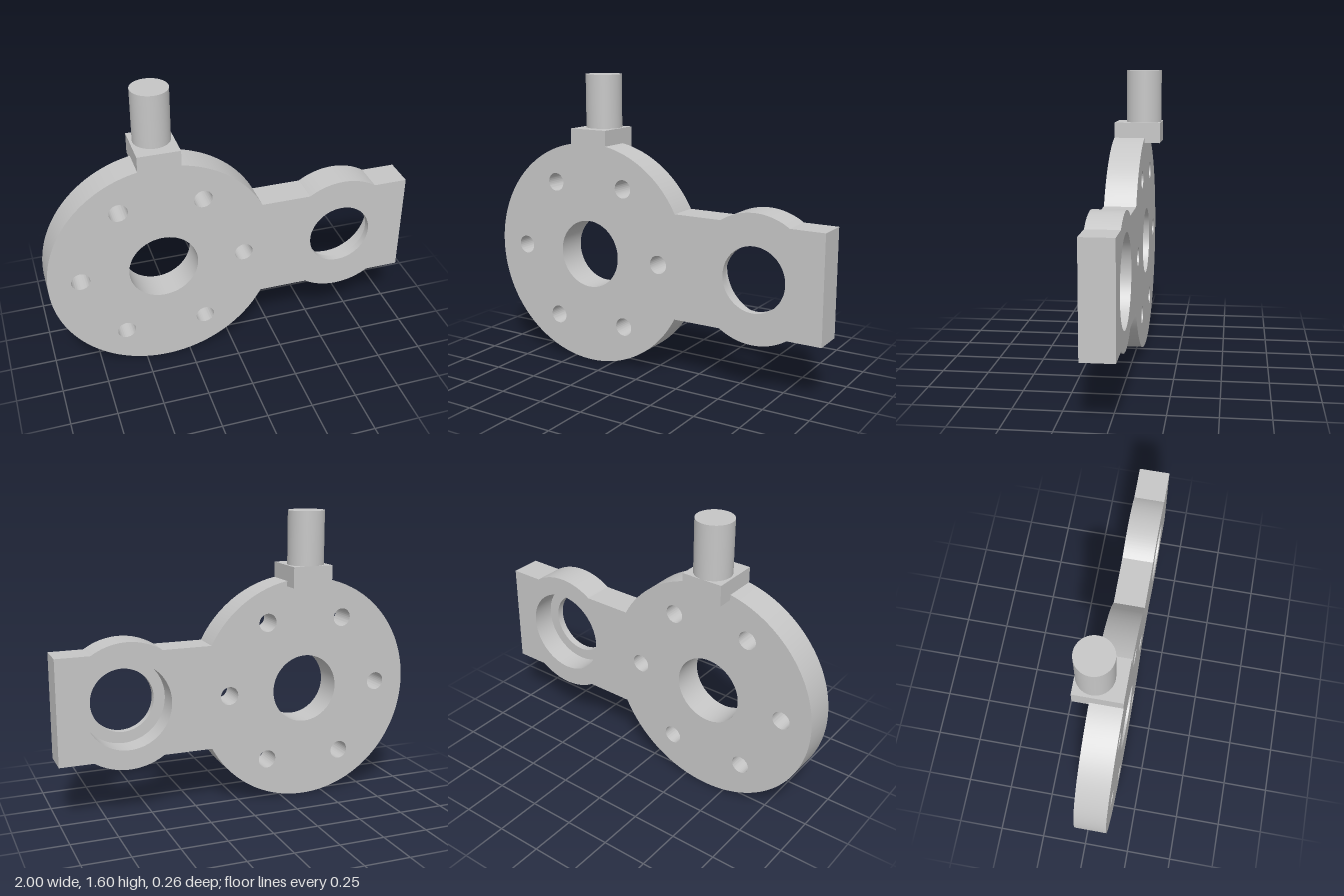
import * as THREE from 'three';
import { toCreasedNormals } from 'three/addons/utils/BufferGeometryUtils.js';

const DISC = { x: -0.382, y: 0.618, r: 0.618 };
const BOSS = { x: 0.625, y: 0.618, r: 0.343 };
const BACK = -0.042, FRONT = 0.128;
const ARM = 0.286;      // half height of the arm
const TAB = 0.113;      // half width of the top tab
const TAB_TOP = 1.31;
const BORE = 0.236, LIP_HOLE = 0.174, LIP = 0.04;

function circle(PathType, x, y, r) {
  const path = new PathType();
  path.absarc(x, y, r, 0, Math.PI * 2, false);
  return path;
}

function extrude(shape, z0, z1) {
  const g = new THREE.ExtrudeGeometry(shape, { depth: z1 - z0, bevelEnabled: false, curveSegments: 48 });
  g.translate(0, 0, z0);
  return toCreasedNormals(g, 0.5);
}

// Outline of disc, arm, boss and tab, counter-clockwise
function plateShape() {
  const PI = Math.PI;
  const a = Math.asin(ARM / DISC.r);
  const b = Math.asin(ARM / BOSS.r);
  const c = Math.acos(TAB / DISC.r);
  const s = new THREE.Shape();
  s.moveTo(DISC.x + DISC.r * Math.cos(a), DISC.y - ARM);
  s.absarc(BOSS.x, BOSS.y, BOSS.r, PI + b, 2 * PI - b, false);
  s.lineTo(1, DISC.y - ARM);
  s.lineTo(1, DISC.y + ARM);
  s.absarc(BOSS.x, BOSS.y, BOSS.r, b, PI - b, false);
  s.absarc(DISC.x, DISC.y, DISC.r, a, c, false);
  s.lineTo(DISC.x + TAB, TAB_TOP);
  s.lineTo(DISC.x - TAB, TAB_TOP);
  s.absarc(DISC.x, DISC.y, DISC.r, PI - c, 2 * PI - a, false);

  // Centre hole, ring of bolt holes and the wide bore in the boss
  s.holes.push(circle(THREE.Path, DISC.x, DISC.y, 0.188));
  for (let i = 0; i < 6; i++) {
    const t = (i * PI) / 3;
    s.holes.push(circle(THREE.Path, DISC.x + 0.446 * Math.cos(t), DISC.y + 0.446 * Math.sin(t), 0.05));
  }
  s.holes.push(circle(THREE.Path, BOSS.x, BOSS.y, BORE));
  return s;
}

export function createModel() {
  const group = new THREE.Group();
  const steel = new THREE.MeshStandardMaterial({ color: 0xc6c6c6 });
  steel.name = 'light steel grey';

  const add = (name, geometry) => {
    const mesh = new THREE.Mesh(geometry, steel);
    mesh.name = name;
    group.add(mesh);
    return mesh;
  };

  add('plate', extrude(plateShape(), BACK, FRONT));

  // Thin lip narrowing the bore at the front
  const ring = circle(THREE.Shape, BOSS.x, BOSS.y, BORE);
  ring.holes.push(circle(THREE.Path, BOSS.x, BOSS.y, LIP_HOLE));
  add('boreLip', extrude(ring, FRONT - LIP, FRONT));

  // Tab overhanging the back of the disc
  const tabBottom = 1.197, tabBack = -0.128;
  add('tabOverhang', new THREE.BoxGeometry(2 * TAB, TAB_TOP - tabBottom, BACK - tabBack))
    .position.set(DISC.x, (TAB_TOP + tabBottom) / 2, (BACK + tabBack) / 2);

  // Upright pin on the tab
  add('pin', new THREE.CylinderGeometry(0.099, 0.099, 1.6 - TAB_TOP, 64))
    .position.set(DISC.x, (1.6 + TAB_TOP) / 2, -0.029);

  return group;
}
